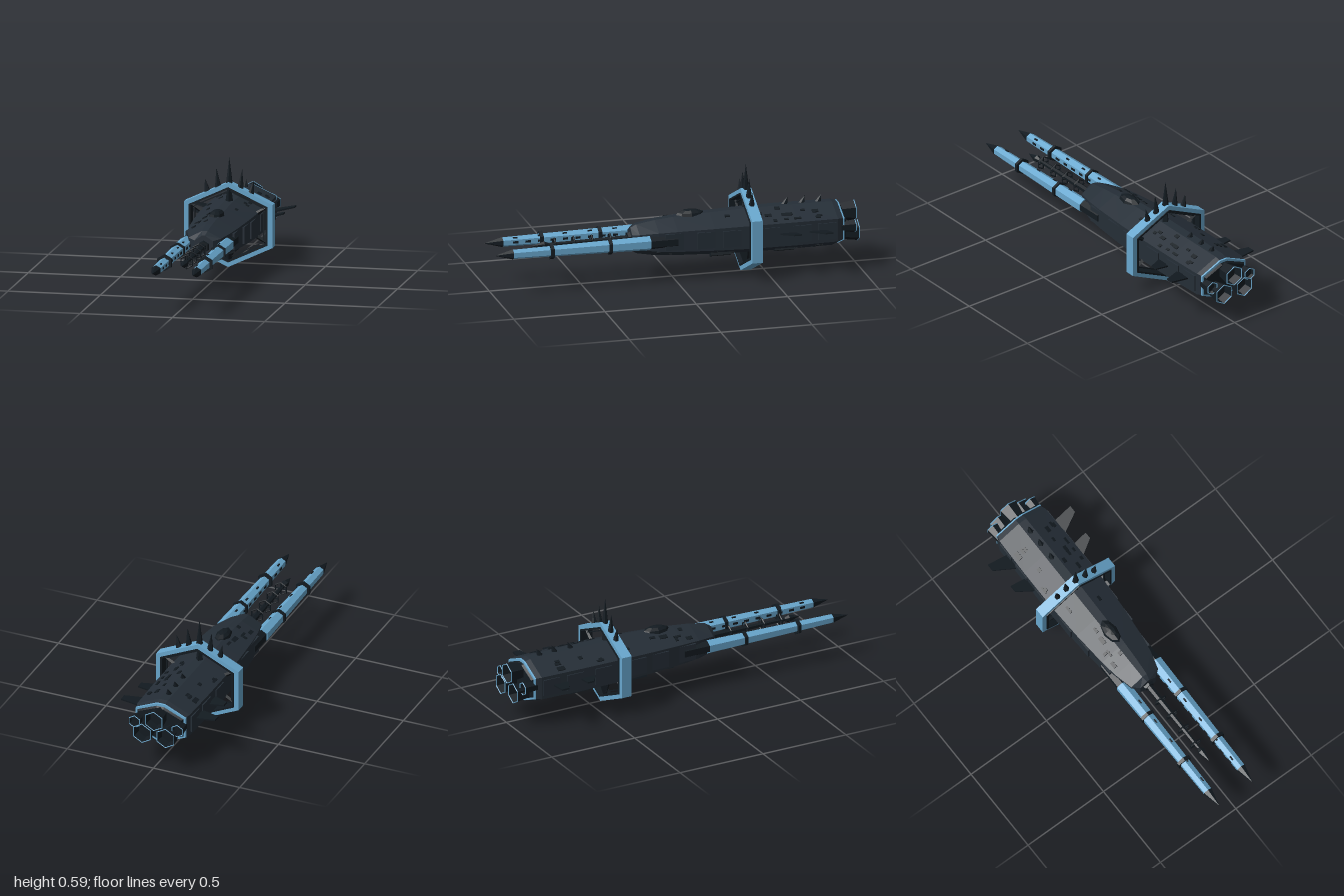
import * as THREE from 'three';

const mat = (color) => new THREE.MeshStandardMaterial({ color, flatShading: true, side: THREE.DoubleSide });
const BLUE = mat(0x69a8cf), HULL = mat(0x252e37), DARK = mat(0x131b21);
const CY = 0.23; // height of the long axis

export function createModel() {
  const root = new THREE.Group();
  const add = (name, geo, material, x = 0, y = 0, z = 0, parent = root) => {
    const m = new THREE.Mesh(geo, material);
    m.name = name;
    m.position.set(x, y, z);
    parent.add(m);
    return m;
  };
  const box = (name, w, h, d, x, y, z, material = DARK) =>
    add(name, new THREE.BoxGeometry(w, h, d), material, x, y, z);
  // six-sided prism along z, corners up and down; r0 at z0, r1 at z1 (z1 > z0)
  const prism = (name, x, y, z0, z1, r0, r1, material, open = false) =>
    add(name, new THREE.CylinderGeometry(r1, r0, z1 - z0, 6, 1, open).rotateX(Math.PI / 2),
      material, x, y, (z0 + z1) / 2);
  const hexRing = (name, x, y, z, r, t, material) =>
    add(name, new THREE.TorusGeometry(r, t, 4, 6).rotateZ(Math.PI / 2), material, x, y, z);
  // tapered bar between two points
  const bar = (name, p, q, r0, r1, sides, material = DARK) => {
    const a = new THREE.Vector3(...p), b = new THREE.Vector3(...q), d = b.clone().sub(a);
    const m = add(name, new THREE.CylinderGeometry(r1, r0, d.length(), sides), material);
    m.position.copy(a).add(b).multiplyScalar(0.5);
    m.quaternion.setFromUnitVectors(new THREE.Vector3(0, 1, 0), d.normalize());
    return m;
  };

  // Hull sections: z, half width, top, bottom
  const sections = [
    [0.23, 0.05, 0.29, 0.17], [0.2, 0.088, 0.308, 0.148], [0.1, 0.115, 0.325, 0.13],
    [0, 0.13, 0.335, 0.122], [-0.2, 0.147, 0.345, 0.114], [-0.4, 0.157, 0.352, 0.108],
    [-0.65, 0.157, 0.352, 0.106], [-0.87, 0.152, 0.35, 0.108], [-0.9, 0.142, 0.342, 0.12],
  ];
  const loop = ([z, w, t, b]) => {
    const f = w * 0.16, u = CY + (t - CY) * 0.52, l = CY + (b - CY) * 0.52;
    return [[f, t, z], [-f, t, z], [-w, u, z], [-w, l, z], [-f, b, z], [f, b, z], [w, l, z], [w, u, z]];
  };
  const loft = (list) => {
    const pos = [], loops = list.map(loop);
    for (let s = 0; s + 1 < loops.length; s++) for (let i = 0; i < 8; i++) {
      const j = (i + 1) % 8, A = loops[s], B = loops[s + 1];
      pos.push(...A[i], ...B[i], ...A[j], ...A[j], ...B[i], ...B[j]);
    }
    const F = loops[0], K = loops[loops.length - 1];
    for (let i = 1; i < 7; i++) pos.push(...F[0], ...F[i], ...F[i + 1], ...K[0], ...K[i + 1], ...K[i]);
    const g = new THREE.BufferGeometry();
    g.setAttribute('position', new THREE.Float32BufferAttribute(pos, 3));
    g.computeVertexNormals();
    return g;
  };
  add('hull', loft(sections), HULL);
  add('rearTrim', loft([[-0.9, 0.146, 0.344, 0.116], [-0.908, 0.144, 0.342, 0.118]]), BLUE);
  add('rearPlate', loft([[-0.905, 0.135, 0.33, 0.128], [-0.92, 0.125, 0.32, 0.138]]), DARK);
  // half width and top of the hull at a given z
  const at = (z, k) => {
    for (let i = 0; i + 1 < sections.length; i++) {
      const a = sections[i], b = sections[i + 1];
      if (z <= a[0] && z >= b[0]) return a[k] + (b[k] - a[k]) * (a[0] - z) / (a[0] - b[0]);
    }
    return sections[0][k];
  };

  // Canopy
  const canopy = add('canopy', new THREE.SphereGeometry(1, 8, 6), DARK, 0, 0.332, -0.1);
  canopy.scale.set(0.04, 0.033, 0.08);

  // Ring frame around the hull
  const hexPath = (Type, k) => {
    const p = new Type();
    [[0, 0.228], [-0.24, 0.116], [-0.24, -0.116], [0, -0.228], [0.24, -0.116], [0.24, 0.116]]
      .forEach(([x, y], i) => (i ? p.lineTo(x * k, y * k) : p.moveTo(x * k, y * k)));
    p.closePath();
    return p;
  };
  const frame = (name, ko, ki, depth, material) => {
    const s = hexPath(THREE.Shape, ko);
    s.holes.push(hexPath(THREE.Path, ki));
    add(name, new THREE.ExtrudeGeometry(s, { depth, bevelEnabled: false }), material, 0, 0.228, -0.405 - depth / 2);
  };
  frame('ringFrame', 1, 0.885, 0.058, BLUE);
  frame('ringLiner', 0.89, 0.845, 0.068, DARK);
  frame('ringInnerWire', 0.795, 0.77, 0.01, DARK);
  bar('topSpoke', [0, 0.34, -0.405], [0, 0.435, -0.405], 0.022, 0.009, 4);
  bar('bottomSpoke', [0, 0.12, -0.405], [0, 0.025, -0.405], 0.04, 0.008, 4);
  for (const s of [1, -1]) {
    bar('upperSpoke', [s * 0.14, 0.285, -0.405], [s * 0.212, 0.329, -0.405], 0.012, 0.007, 4);
    bar('lowerSpoke', [s * 0.14, 0.172, -0.405], [s * 0.212, 0.127, -0.405], 0.012, 0.007, 4);
  }
  // Crown spikes on the ring
  for (const [x, tipX, tipY] of [[0, 0, 0.59], [0.06, 0.07, 0.527], [0.117, 0.132, 0.468]])
    for (const s of x ? [1, -1] : [1])
      bar('crownSpike', [s * x, 0.443 - x * 0.46, -0.405], [s * tipX, tipY, -0.405], 0.019, 0, 6);

  // Dorsal spines
  for (const z of [-0.615, -0.71, -0.8])
    bar('dorsalSpine', [0, 0.345, z], [0, 0.388, z - 0.018], 0.018, 0, 6);

  // Side fins: root and tip z values, span
  for (const s of [1, -1])
    for (const [r0, r1, t0, t1, span] of [[-0.7, -0.8, -0.77, -0.812, 0.275], [-0.54, -0.635, -0.605, -0.645, 0.25]]) {
      const p = new THREE.Shape([[0.14, r0], [span, t0], [span, t1], [0.14, r1]]
        .map(([x, z]) => new THREE.Vector2(s * (x - 0.14), z)));
      const g = new THREE.ExtrudeGeometry(p, { depth: 0.008, bevelEnabled: false }).rotateX(Math.PI / 2);
      const fin = add('sideFin', g, DARK, s * 0.14, 0.236, 0);
      fin.rotation.z = s * 0.18;
      // shape y became z, so no further turn is needed
    }

  // Twin booms with tips, clamps and inner studs
  for (const s of [1, -1]) {
    const x = s * 0.11;
    prism('boom', x, CY, 0.15, 0.905, 0.039, 0.026, BLUE);
    prism('boomSocket', x, CY, 0.0, 0.155, 0.034, 0.034, DARK);
    prism('boomTip', x, CY, 0.9, 1, 0.028, 0, DARK);
    for (const z of [0.37, 0.69]) prism('boomClamp', x, CY, z - 0.009, z + 0.009, 0.045, 0.044, DARK);
    for (let i = 0; i < 10; i++) {
      const z = 0.22 + i * 0.068, r = 0.0375 - 0.0172 * (z - 0.15);
      box('boomStud', 0.008, 0.012, 0.028, x - s * r * 0.87, CY, z);
      if (i % 2) box('boomTopStud', 0.008, 0.006, 0.024, x - s * 0.012, CY + r * 0.84, z);
    }
  }

  // Central lance
  prism('lance', 0, CY, 0.2, 0.69, 0.019, 0.01, DARK);
  prism('lanceBase', 0, CY, 0.21, 0.245, 0.038, 0.03, DARK);
  prism('lanceTipBack', 0, CY, 0.67, 0.7, 0.008, 0.021, DARK);
  prism('lanceTip', 0, CY, 0.7, 0.77, 0.021, 0, DARK);
  for (const z of [0.34, 0.44, 0.54, 0.645]) {
    hexRing('lanceRing', 0, CY, z, 0.036, 0.004, DARK);
    box('lanceRingStrut', 0.07, 0.005, 0.005, 0, CY, z);
    box('lanceRingPost', 0.005, 0.07, 0.005, 0, CY, z);
  }

  // Engine nozzles: x, y, rear z, radius
  for (const [x, y, z, r] of [[0, 0.283, -0.998, 0.057], [0.068, 0.195, -0.998, 0.057], [-0.068, 0.195, -0.998, 0.057],
    [0.124, 0.238, -0.97, 0.036], [-0.124, 0.238, -0.97, 0.036]]) {
    prism('nozzle', x, y, z, -0.89, r, r * 0.72, DARK, true);
    prism('nozzleCore', x, y, -0.95, -0.9, r * 0.8, r * 0.7, DARK);
    hexRing('nozzleRim', x, y, z + 0.001, r - 0.001, 0.003, BLUE);
  }

  // Side panels, belly pods and scattered hull plates
  let seed = 7;
  const rnd = () => (seed = (seed * 16807) % 2147483647) / 2147483647;
  for (const s of [1, -1]) {
    for (const z of [0.02, -0.15, -0.29, -0.5, -0.67, -0.81])
      box('sidePanel', 0.012, 0.09, 0.1, s * at(z, 1), CY, z, HULL);
    for (const z of [-0.25, -0.6]) box('bellyPod', 0.04, 0.03, 0.11, s * 0.055, 0.127, z).rotation.z = s * 0.4;
    for (let i = 0; i < 22; i++) {
      const z = 0.1 - rnd() * 0.95, k = 0.25 + rnd() * 0.65, w = at(z, 1), t = at(z, 2);
      const f = (k - 0.16) / 0.84, up = i % 3 !== 0;
      const edge = up ? t : at(z, 3);
      const y = edge + (CY - edge) * 0.48 * f;
      const slope = Math.atan2((edge - CY) * 0.48, w * 0.84);
      box('hullPlate', 0.012 + rnd() * 0.012, 0.008, 0.015 + rnd() * 0.03, s * w * k, y, z).rotation.z = -s * slope;
    }
  }
  return root;
}
